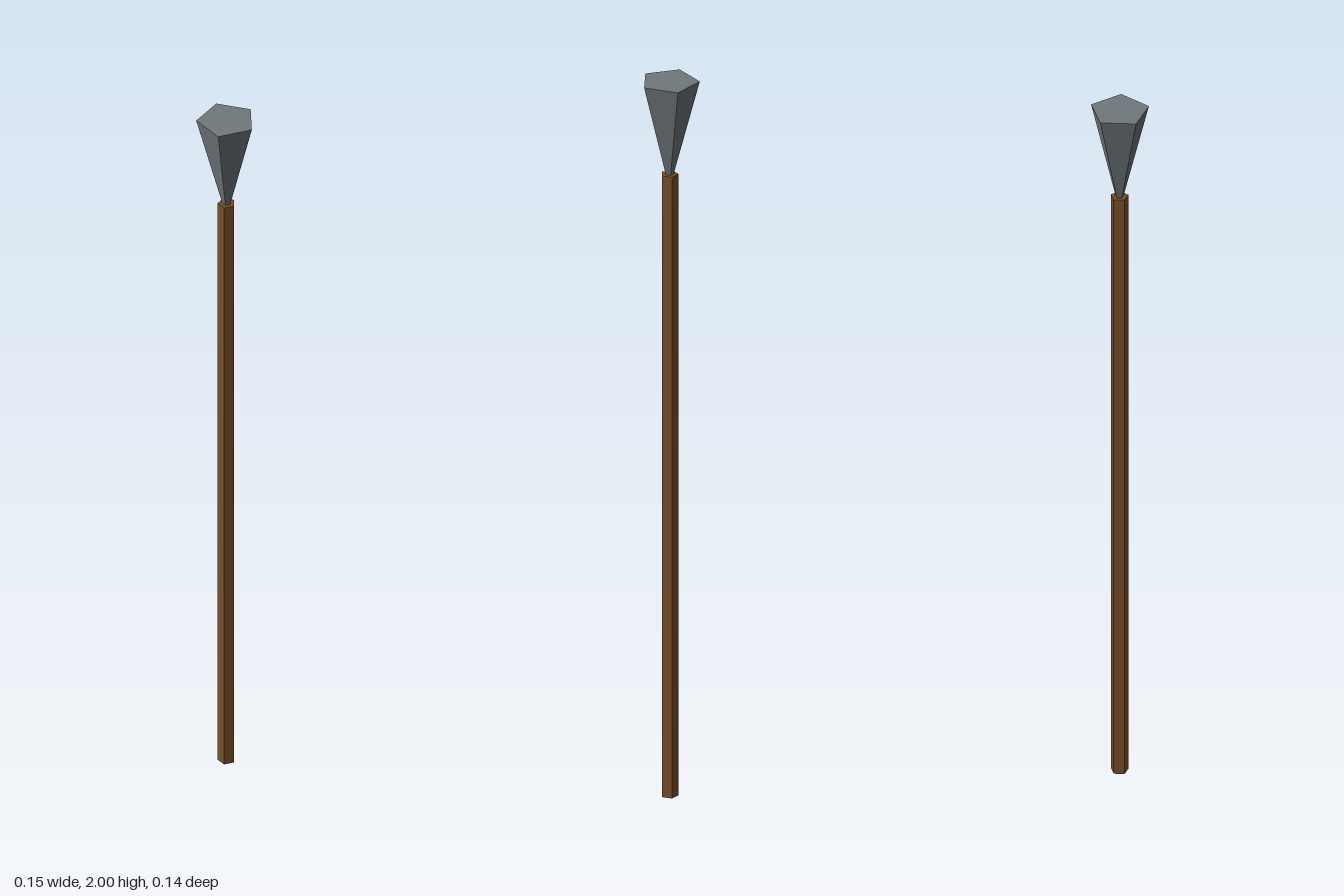
import * as THREE from 'three';

// Five-sided tapered prism with its flat side to the front
function pentagonPrism(name, topRadius, bottomRadius, y0, y1, color) {
  const geometry = new THREE.CylinderGeometry(topRadius, bottomRadius, y1 - y0, 5, 1, false, Math.PI);
  const material = new THREE.MeshStandardMaterial({ color, flatShading: true });
  const mesh = new THREE.Mesh(geometry, material);
  mesh.name = name;
  mesh.position.set(0, (y0 + y1) / 2, 0.007);
  return mesh;
}

export function createModel() {
  const group = new THREE.Group();
  group.name = 'staff';

  // Wooden shaft
  group.add(pentagonPrism('shaft', 0.0235, 0.0235, 0, 1.74, 0x7a4f2a));

  // Flared stone head, its narrow end set on the shaft
  group.add(pentagonPrism('head', 0.078, 0.011, 1.74, 2, 0x70787c));

  return group;
}
